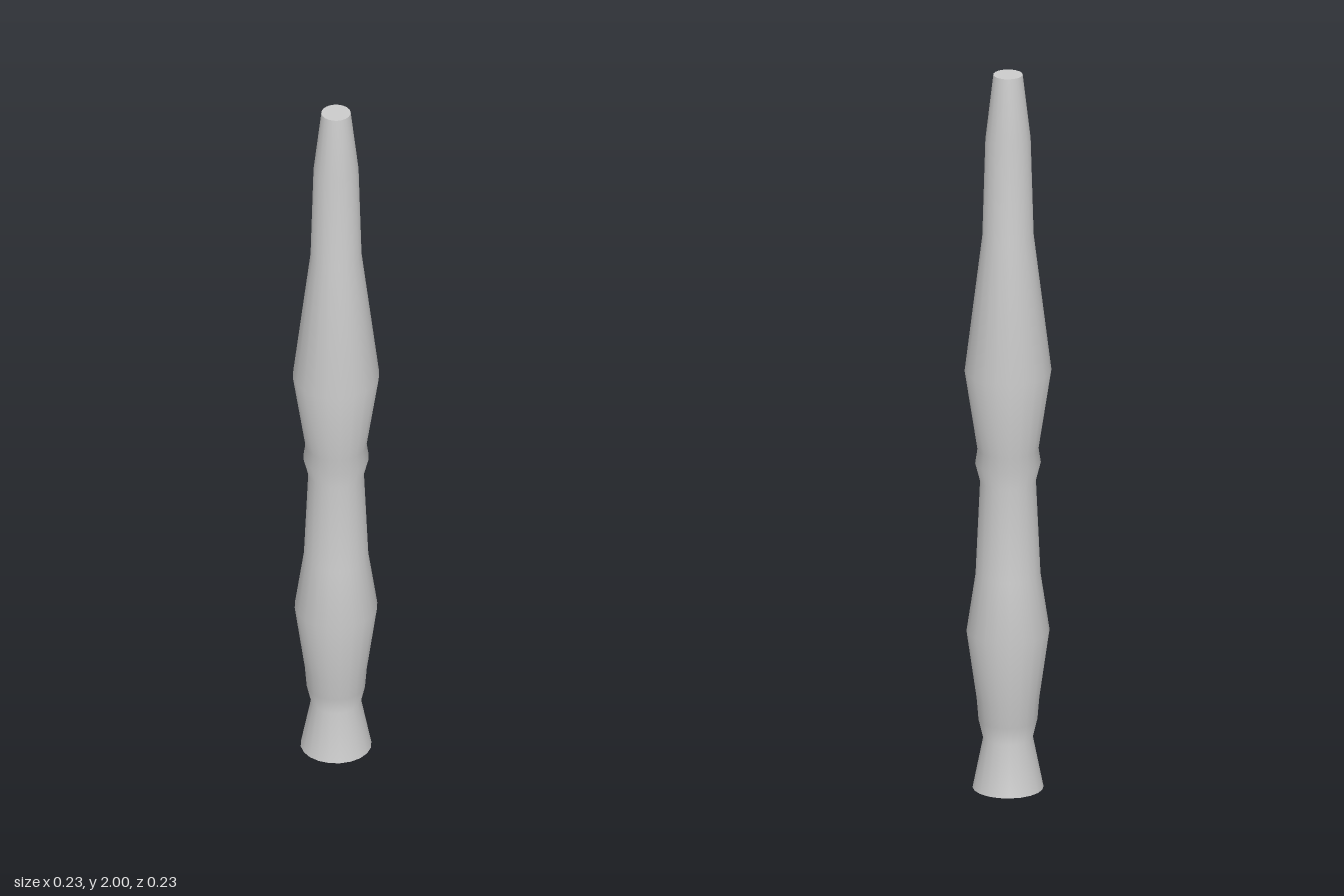
import * as THREE from 'three';

const SIDES = 20;

// Turned profile as [radius, height], from the foot to the tip
const PROFILE = [
  [0.094, 0], [0.066, 0.14], [0.078, 0.19], [0.083, 0.25],
  [0.11, 0.44], [0.086, 0.6], [0.074, 0.86], [0.087, 0.91],
  [0.081, 0.95], [0.115, 1.17], [0.068, 1.55], [0.06, 1.82], [0.039, 2],
];

export function createModel() {
  const group = new THREE.Group();
  group.name = 'turnedSpindle';
  const material = new THREE.MeshStandardMaterial({ color: 0xcccccc });

  // Smooth turned shaft
  const points = PROFILE.map(([r, y]) => new THREE.Vector2(r, y));
  const shaft = new THREE.Mesh(new THREE.LatheGeometry(points, SIDES), material);
  shaft.name = 'shaft';
  group.add(shaft);

  // Flat end caps
  const addCap = (name, [radius, y], facing) => {
    const geometry = new THREE.CircleGeometry(radius, SIDES).rotateX(-facing * Math.PI / 2);
    const cap = new THREE.Mesh(geometry, material);
    cap.name = name;
    cap.position.y = y;
    group.add(cap);
  };
  addCap('footCap', PROFILE[0], -1);
  addCap('tipCap', PROFILE[PROFILE.length - 1], 1);

  return group;
}
